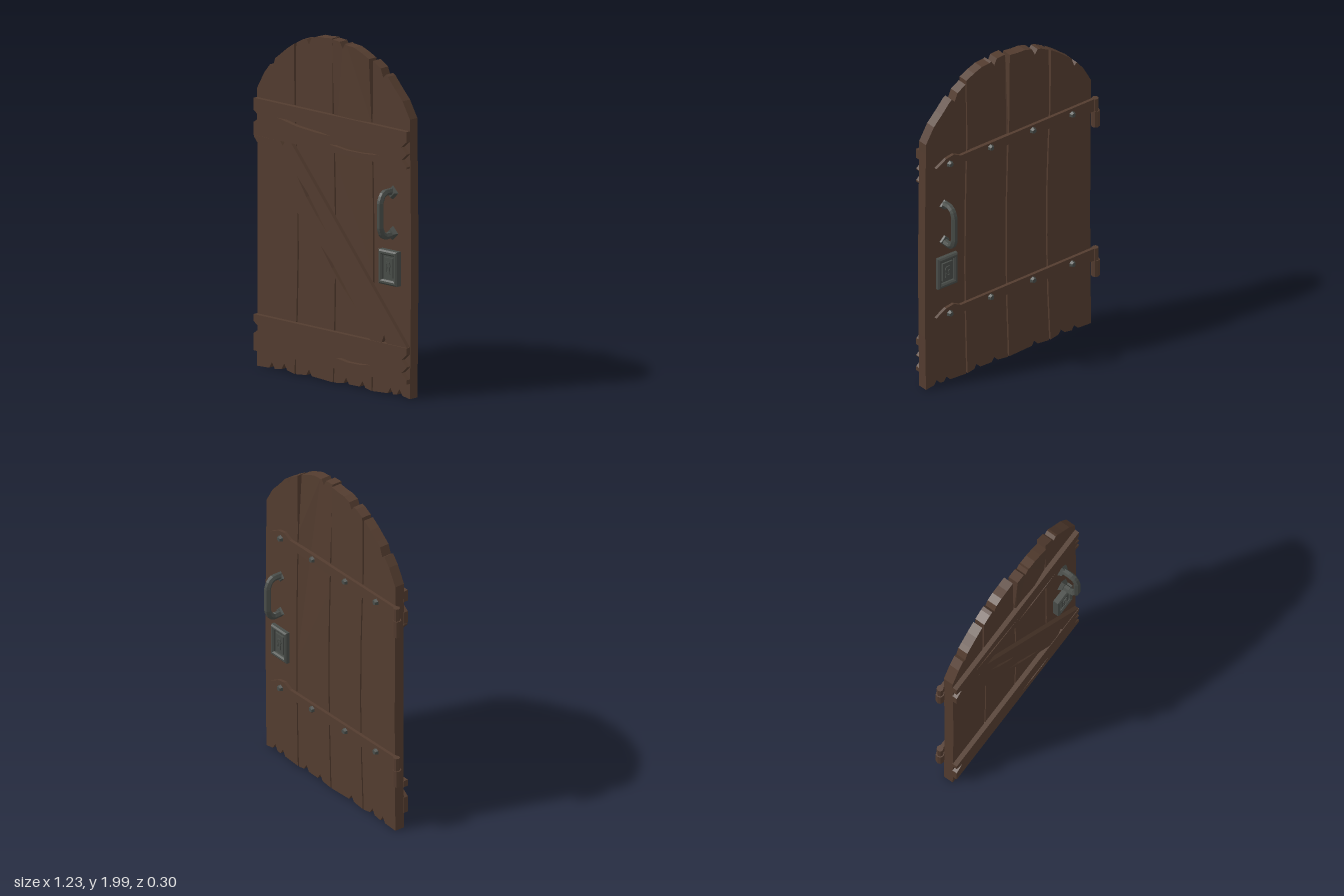
import * as THREE from 'three';

const wood = new THREE.MeshStandardMaterial({ color: 0x533c2f });
wood.name = 'dark wood';
const iron = new THREE.MeshStandardMaterial({ color: 0x484c48 });
iron.name = 'dark iron';

// Small seeded noise in -1..1
let seed = 7;
function jitter() {
  seed = (seed * 16807) % 2147483647;
  return (seed / 2147483647) * 2 - 1;
}

const toPoints = (pts) => pts.map(([x, y]) => new THREE.Vector2(x, y));

function add(parent, name, geo, material, x = 0, y = 0, z = 0) {
  const flat = geo.index ? geo.toNonIndexed() : geo;
  flat.computeVertexNormals();
  const mesh = new THREE.Mesh(flat, material);
  mesh.name = name;
  mesh.position.set(x, y, z);
  parent.add(mesh);
}

// Flat slab between two depths, with optional cut-outs
function slab(pts, z0, z1, holes = []) {
  const shape = new THREE.Shape(toPoints(pts));
  holes.forEach((h) => shape.holes.push(new THREE.Path(toPoints(h))));
  return new THREE.ExtrudeGeometry(shape, { depth: z1 - z0, bevelEnabled: false }).translate(0, 0, z0);
}

const rect = (w, h) => [[-w / 2, -h / 2], [w / 2, -h / 2], [w / 2, h / 2], [-w / 2, h / 2]];
const mirrorX = (half) => [...half, ...half.map(([x, y]) => [-x, y]).reverse()];

// Three points of a V-shaped chip; dy is the depth, signed
const chip = (x, y, w, dy) => [[x - w, y], [x, y + dy], [x + w, y]];

// Long thin split in a board, running from a to b
function split(ax, ay, bx, by) {
  const dx = bx - ax, dy = by - ay, l = Math.hypot(dx, dy);
  const at = (t, s) => [ax + dx * t - (dy / l) * s, ay + dy * t + (dx / l) * s];
  return [at(0, 0), at(0.35, -0.012), at(0.7, -0.01), at(1, 0), at(0.6, 0.008), at(0.3, 0.012)];
}

// Rounded top of the door, and the bowed joints between planks
const arch = (x) => 1.3 + 0.695 * Math.sqrt(1 - ((x - 0.02) / 0.66) ** 2);
const joints = [[-0.57, 0.006], [-0.277, 0.024], [0.017, 0.018], [0.314, 0.014], [0.605, 0.008]];
const chipsBelow = [[-0.455, -0.36], [-0.17], [0.115, 0.24], [0.455, 0.525]];
const chipsAbove = [[-0.45], [-0.17], [0.105], [0.4]];

function makePlank(i) {
  const edge = (j, side) => [0, 0.35, 0.7, 1.05, 1.3, 1.56].map((y) => {
    const gap = j === 0 || j === 4 ? 0 : 0.005;
    return [joints[j][0] + joints[j][1] * Math.sin((Math.PI * y) / 1.56) + side * gap, y];
  });
  const left = edge(i, 1), right = edge(i + 1, -1);
  const x0 = left[5][0] + 0.004 * (i > 0), x1 = right[5][0] - 0.004 * (i < 3);
  const below = chipsBelow[i].flatMap((x) => chip(x, 0.008 + 0.004 * jitter(), 0.022, 0.035));
  // Ragged top: sampled arch with a sharp chip
  const top = [[x1, arch(x1)]];
  for (let k = 1; k < 5; k++) {
    const x = x1 + ((x0 - x1) * k) / 5;
    if (chipsAbove[i].every((c) => Math.abs(c - x) > 0.03)) top.push([x, arch(x) + 0.008 * jitter()]);
  }
  chipsAbove[i].forEach((c) => top.push([c + 0.02, arch(c + 0.02)], [c, arch(c) - 0.035], [c - 0.02, arch(c - 0.02)]));
  top.push([x0, arch(x0)]);
  top.sort((a, b) => b[0] - a[0]);
  const geo = slab([left[0], ...below, ...right, ...top, ...left.slice(1).reverse()], -0.037, 0.025);
  // The third plank warps forward at its top
  if (i === 2) {
    const p = geo.attributes.position;
    for (let k = 0; k < p.count; k++) {
      p.setZ(k, p.getZ(k) + 0.02 * Math.max(0, (p.getY(k) - 1.56) / 0.44));
    }
  }
  return geo;
}

// Horizontal board with V chips in its ends
function makeBoard(y0, y1, chipsLeft, chipsRight, splits) {
  const end = (x, inward, list) => list.flatMap((y) => [[x, y - 0.035], [x + inward, y], [x, y + 0.035]]);
  const pts = [[-0.57, y0], [0.605, y0 - 0.006], ...end(0.605, -0.04, chipsRight), [0.605, y1 - 0.005],
    [-0.57, y1], ...end(-0.57, 0.05, chipsLeft).reverse()];
  return slab(pts, 0.02, 0.053, splits);
}

// Grip and its two diamond roses
function makeHandle() {
  const g = new THREE.Group();
  const path = new THREE.CurvePath();
  const half = [[0.125, 0.02], [0.127, 0.09], [0.113, 0.115], [0.075, 0.131]];
  const pts = [...half, ...half.map(([y, z]) => [-y, z]).reverse()].map(([y, z]) => new THREE.Vector3(0, y, z));
  for (let i = 0; i < pts.length - 1; i++) path.add(new THREE.LineCurve3(pts[i], pts[i + 1]));
  add(g, 'grip', new THREE.TubeGeometry(path, 36, 0.02, 6), iron);
  for (const y of [-0.118, 0.118]) {
    const rose = new THREE.CylinderGeometry(0.028, 0.043, 0.025, 4).rotateX(Math.PI / 2);
    add(g, 'handleRose', rose, iron, 0, y, 0.035);
  }
  g.position.set(0.475, 1.062, 0);
  return g;
}

// Stepped lock plate with a framed keyhole
function makeLock() {
  const g = new THREE.Group();
  add(g, 'lockBase', slab(rect(0.14, 0.2), 0.02, 0.046), iron);
  const frame = new THREE.Shape(toPoints(rect(0.122, 0.182)));
  frame.holes.push(new THREE.Path(toPoints(rect(0.108, 0.16))));
  add(g, 'lockFrame', new THREE.ExtrudeGeometry(frame, {
    depth: 0.012, bevelSize: 0.009, bevelThickness: 0.008, bevelSegments: 1,
  }), iron, 0, 0, 0.045);
  add(g, 'lockPanel', slab(rect(0.07, 0.115), 0.045, 0.056), iron);
  const keyhole = mirrorX([[0.008, -0.022], [0.004, 0.002], [0.01, 0.012], [0.005, 0.022]]);
  const surround = mirrorX([[0.018, -0.035], [0.014, -0.004], [0.021, 0.014], [0.012, 0.034]]);
  add(g, 'keyholeSurround', slab(surround, 0.056, 0.062, [keyhole]), iron);
  g.position.set(0.465, 0.745, 0);
  return g;
}

// Back hinge: pointed strap, knuckles and rivets
function makeHinge() {
  const g = new THREE.Group();
  const lower = [[-0.6, -0.04], [0.37, -0.025], [0.42, -0.05], [0.475, -0.04]];
  const strap = [...lower, [0.545, 0], ...lower.map(([x, y]) => [x, -y]).reverse()];
  add(g, 'strap', slab(strap, -0.056, -0.034), wood);
  add(g, 'upperKnuckle', new THREE.CylinderGeometry(0.02, 0.02, 0.08, 8), wood, -0.593, 0, -0.046);
  add(g, 'lowerKnuckle', new THREE.CylinderGeometry(0.025, 0.025, 0.105, 8), wood, -0.595, -0.093, -0.045);
  for (const x of [-0.42, -0.14, 0.16, 0.45]) {
    const rivet = new THREE.CylinderGeometry(0.014, 0.022, 0.02, 6).rotateX(-Math.PI / 2);
    add(g, 'rivet', rivet, iron, x, 0, -0.064);
  }
  return g;
}

export function createModel() {
  const door = new THREE.Group();
  door.name = 'door';

  for (let i = 0; i < 4; i++) add(door, 'plank' + (i + 1), makePlank(i), wood);

  // Cross boards and the diagonal between them
  add(door, 'topBoard', makeBoard(1.345, 1.56, [1.455], [1.385, 1.46],
    [split(-0.39, 1.475, 0.02, 1.435), split(0.01, 1.385, 0.39, 1.385)]), wood);
  add(door, 'bottomBoard', makeBoard(0.095, 0.305, [0.23], [0.15, 0.225],
    [split(0.06, 0.155, 0.32, 0.155)]), wood);
  add(door, 'diagonalBoard', slab([[-0.57, 1.335], [0.325, 0.302], ...chip(0.43, 0.302, 0.02, 0.045),
    [0.605, 0.302], [-0.285, 1.343], ...chip(-0.35, 1.343, 0.02, -0.025).reverse(), [-0.57, 1.343]], 0.02, 0.05,
  [split(-0.24, 1.16, -0.01, 0.87), split(-0.06, 0.79, 0.215, 0.47)]), wood);

  for (const y of [1.45, 0.46]) {
    const hinge = makeHinge();
    hinge.name = 'hinge';
    hinge.position.y = y;
    door.add(hinge);
  }

  // Handle and lock on both faces
  for (const side of ['front', 'back']) {
    const handle = makeHandle(), lock = makeLock();
    handle.name = side + 'Handle';
    lock.name = side + 'Lock';
    handle.rotation.y = lock.rotation.y = side === 'front' ? 0 : Math.PI;
    door.add(handle, lock);
  }
  return door;
}
